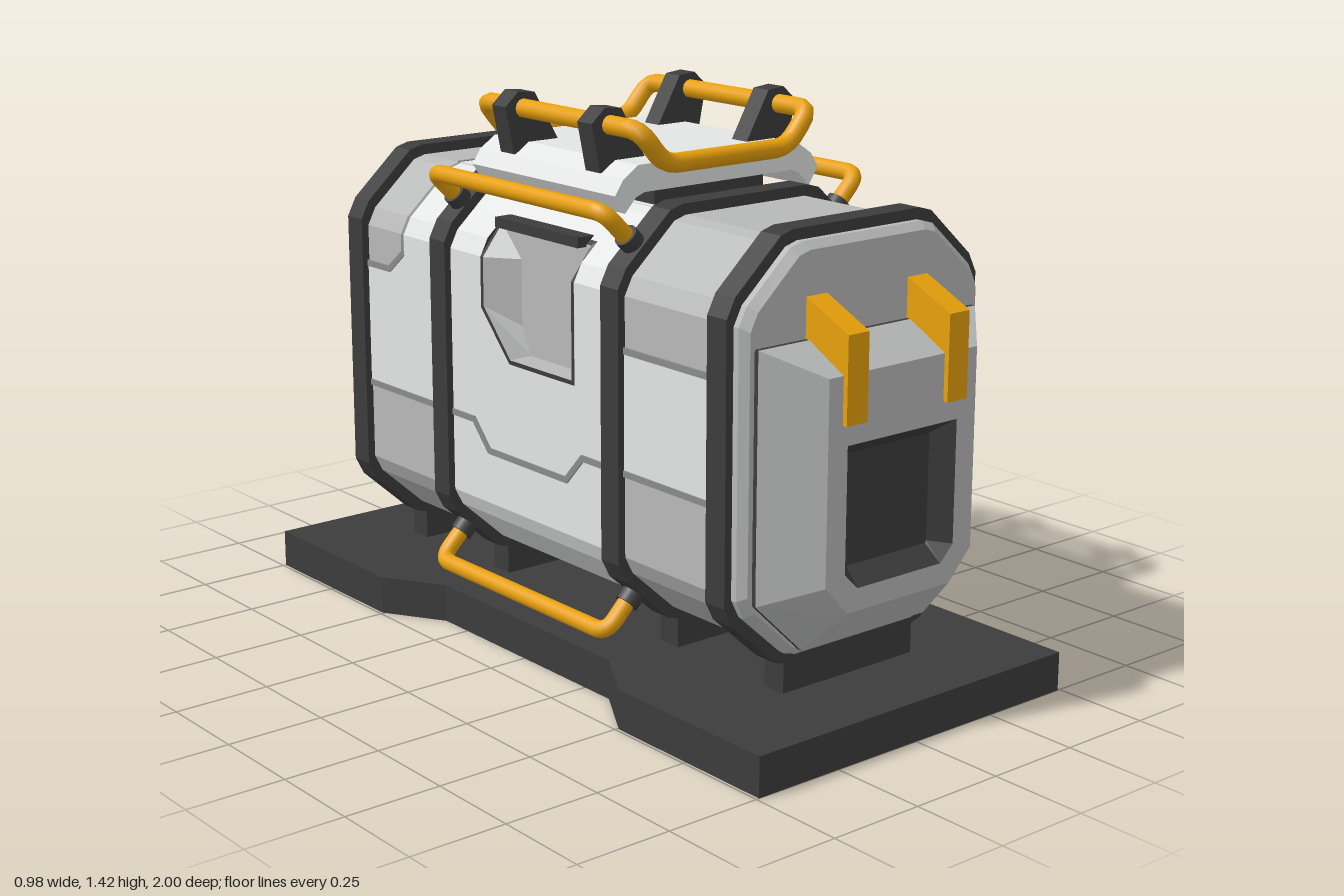
import * as THREE from 'three';

const V = (x, y, z) => new THREE.Vector3(x, y, z);
const mat = (name, color) => Object.assign(new THREE.MeshStandardMaterial({ color }), { name });

// Right half of the hull cross-section, bottom to top
const HALF = [[0.19, 0.2], [0.225, 0.21], [0.352, 0.325], [0.375, 0.37],
  [0.375, 1.01], [0.352, 1.055], [0.225, 1.17], [0.19, 1.18]];
const HULL = [...HALF, ...HALF.map(([x, y]) => [-x, y]).reverse()];
const CY = 0.69;
const hullRing = (z, sx = 1, sy = sx) => HULL.map(([x, y]) => V(x * sx, CY + (y - CY) * sy, z));

// Half width of the hull at height y
function sideX(y) {
  for (let i = 0; i < HALF.length - 1; i++) {
    const [x0, y0] = HALF[i], [x1, y1] = HALF[i + 1];
    if (y <= y1) return x0 + (x1 - x0) * (y - y0) / (y1 - y0);
  }
  return HALF.at(-1)[0];
}

function fromTriangles(points) {
  const g = new THREE.BufferGeometry().setFromPoints(points);
  g.computeVertexNormals();
  return g;
}

// Joins equal cross-sections with flat faces, optionally closing the ends
function loft(rings, capStart = true, capEnd = true) {
  const t = [], n = rings[0].length;
  for (let i = 0; i < rings.length - 1; i++) {
    for (let j = 0; j < n; j++) {
      const k = (j + 1) % n, a = rings[i], b = rings[i + 1];
      t.push(a[j], a[k], b[k], a[j], b[k], b[j]);
    }
  }
  const s = rings[0], e = rings.at(-1);
  for (let j = 1; j < n - 1; j++) {
    if (capStart) t.push(s[0], s[j + 1], s[j]);
    if (capEnd) t.push(e[0], e[j], e[j + 1]);
  }
  return fromTriangles(t);
}

// Thin skin that follows the hull side; rows are [y, zBack, zFront]
function skin(rows, off, s) {
  const all = [];
  rows.forEach((r, i) => {
    all.push(r);
    const q = rows[i + 1];
    if (!q) return;
    for (const [, y] of HALF) {
      if (y > r[0] + 1e-4 && y < q[0] - 1e-4) {
        const f = (y - r[0]) / (q[0] - r[0]);
        all.push([y, r[1] + (q[1] - r[1]) * f, r[2] + (q[2] - r[2]) * f]);
      }
    }
  });
  const t = [];
  for (let i = 0; i < all.length - 1; i++) {
    const P = (r, k) => V(s * (sideX(r[0]) + off), r[0], r[k]);
    const a = P(all[i], 2), b = P(all[i], 1), c = P(all[i + 1], 1), d = P(all[i + 1], 2);
    if (s > 0) t.push(a, b, c, a, c, d);
    else t.push(a, c, b, a, d, c);
  }
  return fromTriangles(t);
}

const polygon = pts => new THREE.Shape(pts.map(([x, y]) => new THREE.Vector2(x, y)));
// Extruded polygon, centred on its depth
const prism = (pts, depth) =>
  new THREE.ExtrudeGeometry(polygon(pts), { depth, bevelEnabled: false }).translate(0, 0, -depth / 2);

// Bent pipe with rounded corners
function pipe(pts, r, bend, closed) {
  const path = new THREE.CurvePath(), n = pts.length;
  const toward = (a, b) => a.clone().add(b.clone().sub(a).setLength(bend));
  const start = closed ? pts[0].clone().lerp(pts[n - 1], 0.5) : pts[0];
  let last = start;
  for (let i = closed ? 0 : 1; i < (closed ? n : n - 1); i++) {
    const a = toward(pts[i], pts[(i + n - 1) % n]), b = toward(pts[i], pts[(i + 1) % n]);
    path.add(new THREE.LineCurve3(last, a));
    path.add(new THREE.QuadraticBezierCurve3(a, pts[i], b));
    last = b;
  }
  path.add(new THREE.LineCurve3(last, closed ? start : pts[n - 1]));
  return new THREE.TubeGeometry(path, 120, r, 12, closed);
}

export function createModel() {
  const light = mat('light grey', 0xe3e5e4), mid = mat('mid grey', 0xb7b9b8), seam = mat('seam grey', 0x8a8c8b);
  const dark = mat('charcoal', 0x3c3c3c), orange = mat('orange', 0xeaa20c);
  dark.side = THREE.DoubleSide;
  const model = new THREE.Group();
  const add = (name, geo, m, parent = model) => {
    const mesh = new THREE.Mesh(geo, m);
    mesh.name = name;
    parent.add(mesh);
    return mesh;
  };
  const box = (name, w, h, d, x, y, z, m) => add(name, new THREE.BoxGeometry(w, h, d).translate(x, y, z), m);

  // Waisted base, open underneath
  const corner = [[0.492, 1], [0.492, 0.505], [0.395, 0.345]];
  const right = [...corner, ...corner.map(([x, z]) => [x, -z]).reverse()].reverse();
  const basePts = [...right, ...right.map(([x, z]) => [-x, -z])];
  const baseRing = h => basePts.map(([x, y]) => V(x, y, h));
  add('baseWall', loft([baseRing(0), baseRing(0.1)], false, false).rotateX(-Math.PI / 2), dark);
  add('baseTop', new THREE.ShapeGeometry(polygon(basePts)).rotateX(-Math.PI / 2).translate(0, 0.1, 0), dark);

  // Hull ends and the core of the middle section
  add('frontHull', loft([hullRing(0.33), hullRing(0.785), hullRing(0.805, 0.955, 0.965)]), mid);
  add('rearHull', loft([hullRing(-0.805, 0.955, 0.965), hullRing(-0.785), hullRing(-0.33)]), mid);
  box('middleCore', 0.384, 0.984, 0.67, 0, CY, 0, light);

  // Hoops and their feet
  for (const z of [-0.735, -0.352, 0.352, 0.735]) {
    add('hoop', loft([hullRing(z - 0.033, 1.055), hullRing(z + 0.033, 1.055)]), dark);
    box('foot', 0.42, 0.123, 0.066, 0, 0.1585, z, dark);
  }

  // Side panels, seams, hatches and handrails
  for (const s of [1, -1]) {
    for (const rows of [
      [[0.2, -0.335, 0.335], [0.755, -0.335, 0.335]],
      [[0.755, 0.195, 0.335], [1.1, 0.195, 0.335]],
      [[0.755, -0.335, -0.07], [0.88, -0.335, -0.187], [1.1, -0.335, -0.187]],
      [[1.1, -0.335, 0.335], [1.18, -0.335, 0.335]],
    ]) add('middleSide', skin(rows, 0.002, s), light);
    add('frontSidePanel', skin([[0.58, 0.38, 0.705], [0.88, 0.38, 0.705]], 0.003, s), light);
    add('rearSidePanel', skin([[0.58, -0.705, -0.38], [0.905, -0.705, -0.38], [0.906, -0.6, -0.38],
      [0.955, -0.53, -0.38], [1.18, -0.53, -0.38]], 0.003, s), light);
    add('rearSeam', skin([[0.955, -0.54, -0.528], [1.18, -0.54, -0.528]], 0.005, s), seam);

    for (const line of [
      [[0.7, 0.58], [0.38, 0.58]], [[-0.38, 0.58], [-0.7, 0.58]], [[0.7, 0.88], [0.38, 0.88]],
      [[0.32, 0.58], [0.225, 0.58], [0.16, 0.51], [-0.16, 0.51], [-0.225, 0.58], [-0.32, 0.58]],
      [[-0.535, 0.96], [-0.6, 0.908], [-0.7, 0.908]],
    ]) {
      for (let i = 0; i < line.length - 1; i++) {
        const [z0, y0] = line[i], [z1, y1] = line[i + 1];
        const strip = add('seam', new THREE.BoxGeometry(0.009, 0.016, Math.hypot(z1 - z0, y1 - y0) + 0.005), seam);
        strip.position.set(s * 0.3765, (y0 + y1) / 2, (z0 + z1) / 2);
        strip.rotation.x = Math.atan2(y1 - y0, z0 - z1);
      }
    }

    // Sunken hatch with a dark rim
    const hatchRing = (pts, x) => {
      const ring = pts.map(([z, y]) => V(s * (x ?? sideX(y) + 0.003), y, z));
      return s > 0 ? ring : ring.reverse();
    };
    const rim = hatchRing([[0.184, 0.766], [-0.066, 0.766], [-0.176, 0.885], [-0.176, 1.01], [-0.176, 1.09], [0.184, 1.09], [0.184, 1.01]]);
    const edge = hatchRing([[0.195, 0.755], [-0.07, 0.755], [-0.187, 0.88], [-0.187, 1.01], [-0.187, 1.1], [0.195, 1.1], [0.195, 1.01]]);
    const floor = hatchRing([[0.181, 0.769], [-0.06, 0.769], [-0.095, 0.84], [-0.095, 1.01], [-0.095, 1.085], [0.181, 1.085], [0.181, 1.01]], 0.318);
    add('hatchRim', loft([edge, rim], false, false), dark);
    add('hatch', loft([rim, floor], false, true), mid);
    box('hatchHinge', 0.05, 0.026, 0.335, s * 0.32, 1.097, 0, dark);

    for (const u of [1, -1]) {
      const y = d => CY + u * d;
      const rail = [V(s * 0.3, y(0.41), 0.348), V(s * 0.405, y(0.515), 0.348),
        V(s * 0.405, y(0.515), -0.348), V(s * 0.3, y(0.41), -0.348)];
      add('handrail', pipe(rail, 0.022, 0.04, false), orange);
      for (const z of [0.348, -0.348]) {
        const sleeve = add('railSleeve', new THREE.CylinderGeometry(0.03, 0.03, 0.07, 16), dark);
        sleeve.position.set(s * 0.318, y(0.43), z);
        sleeve.rotation.z = -s * u * Math.PI / 4;
      }
    }
  }
  box('rearTopPanel', 0.39, 0.006, 0.15, 0, 1.18, -0.455, light);
  box('rearTopSeam', 0.39, 0.008, 0.012, 0, 1.181, -0.534, seam);

  // Sloped end caps with a recessed port and two hooks
  const hex = (w, top, side, b, bottom, z) => [V(b, bottom, z), V(w, side, z), V(w, top, z),
    V(-w, top, z), V(-w, side, z), V(-b, bottom, z)];
  for (const turn of [0, Math.PI]) {
    const end = new THREE.Group();
    end.name = turn ? 'rearEnd' : 'frontEnd';
    end.rotation.y = turn;
    model.add(end);
    const rim = hex(0.175, 0.735, 0.43, 0.135, 0.39, 0.93);
    const foot = z => hex(0.345, 0.96, 0.36, 0.2, 0.22, z);
    add('capGasket', loft([foot(0.8), foot(0.817)]), dark, end);
    add('cap', loft([foot(0.817), hex(0.235, 0.9, 0.41, 0.165, 0.335, 0.93), rim], false, false), mid, end);
    add('port', loft([rim, hex(0.132, 0.7, 0.436, 0.128, 0.43, 0.885)], false, true), dark, end);
    const hook = [[0.8, 1.06], [0.943, 0.995], [0.943, 0.785], [0.925, 0.785], [0.925, 0.9], [0.8, 0.955]];
    for (const x of [-0.16, 0.16]) {
      const pts = hook.map(([z, y]) => [-z, y]);
      add('hook', prism(pts, 0.064).rotateY(Math.PI / 2).translate(x, 0, 0), orange, end);
    }
  }

  // Roof hatch on a plinth
  box('roofPlinth', 0.35, 0.07, 0.5, 0, 1.2, 0, dark);
  const roofHalf = [[0.235, 1.225], [0.262, 1.215], [0.295, 1.18], [0.325, 1.225], [0.3, 1.262], [0.255, 1.292]];
  add('roofCover', prism([...roofHalf, ...roofHalf.map(([x, y]) => [-x, y]).reverse()], 0.575), light);

  // Brackets and the raised roof rail
  const loop = [];
  for (const s of [1, -1]) {
    for (const z of [0.172, -0.172]) {
      const pts = [[0.16, 1.285], [0.3, 1.265], [0.325, 1.385], [0.285, 1.42], [0.235, 1.415]].map(([x, y]) => [s * x, y]);
      add('railBracket', prism(pts, 0.056).translate(0, 0, z), dark);
    }
    loop.push(...[[1, 0.27, 1.378], [1, 0.195, 1.29], [-1, 0.195, 1.29], [-1, 0.27, 1.378]]
      .map(([d, x, y]) => V(d * s * x, y, s * 0.312)));
  }
  add('roofRail', pipe(loop, 0.024, 0.04, true), orange);
  return model;
}
